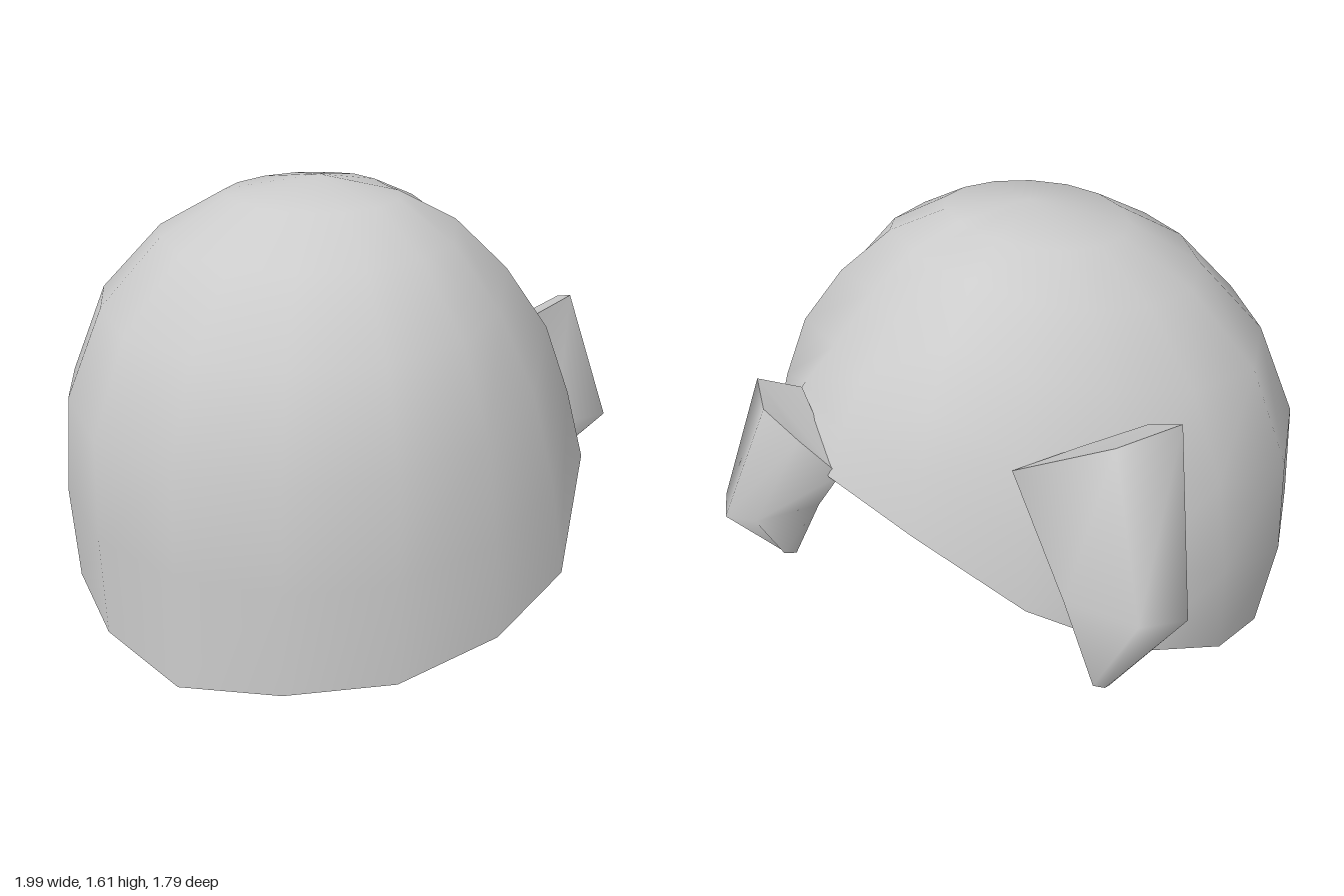
import * as THREE from 'three';

const material = new THREE.MeshStandardMaterial({ color: 0xcccccc, side: THREE.DoubleSide });

function makeMesh(name, points, index) {
  const geometry = new THREE.BufferGeometry();
  geometry.setAttribute('position', new THREE.Float32BufferAttribute(points.flat(), 3));
  geometry.setIndex(index);
  geometry.computeVertexNormals();
  const mesh = new THREE.Mesh(geometry, material);
  mesh.name = name;
  return mesh;
}

// Join ring r to ring r + 1; rings run counter-clockwise seen from above, top ring first
function joinRings(index, start, sides) {
  for (let i = 0; i < sides; i++) {
    const a = start + i, b = start + (i + 1) % sides;
    index.push(a, a + sides, b, b, a + sides, b + sides);
  }
}

// Meridian profiles [radius, y] from below the crown to the rim, from the shortest drop to the longest
const PROFILES = [
  { rim: 0.92, line: [[0.26, 1.56], [0.43, 1.475], [0.58, 1.34], [0.74, 1.15], [0.86, 1.02], [0.94, 0.92]] },
  { rim: 0.8, line: [[0.27, 1.57], [0.47, 1.5], [0.66, 1.36], [0.82, 1.19], [0.91, 1.0], [0.98, 0.8]] },
  { rim: 0.32, line: [[0.33, 1.555], [0.54, 1.43], [0.72, 1.22], [0.86, 0.95], [0.95, 0.63], [1.0, 0.32]] },
  { rim: 0.05, line: [[0.35, 1.54], [0.61, 1.395], [0.855, 1.14], [0.995, 0.79], [1.0, 0.42], [1.0, 0.05]] },
];

// Rim height and radius every 22.5 degrees, from the front towards the model's left
const RIM = [
  [0, 1], [0.06, 1], [0.11, 1], [0.21, 1], [0.32, 1], [0.62, 0.99], [0.92, 0.94], [0.85, 0.96],
  [0.78, 0.98], [0.56, 0.99], [0.36, 1], [0.21, 0.98], [0.08, 0.94], [0.09, 0.95], [0.11, 0.96], [0.055, 0.98],
];

// Open dome with a slanting, uneven rim
function makeDome() {
  const sides = RIM.length, rings = 6;
  const points = [[0, 1.61, 0]], index = [];
  for (let j = 0; j < rings; j++) {
    RIM.forEach(([rimY, rimR], k) => {
      const s = rimY > 0.8 ? 0 : rimY > 0.32 ? 1 : 2;
      const p = PROFILES[s], q = PROFILES[s + 1];
      const t = Math.min(1, (rimY - p.rim) / (q.rim - p.rim));
      let r = THREE.MathUtils.lerp(p.line[j][0], q.line[j][0], t);
      let y = THREE.MathUtils.lerp(p.line[j][1], q.line[j][1], t);
      if (j === rings - 1) { r = rimR; y = rimY; }
      const a = (k / sides) * Math.PI * 2;
      points.push([r * Math.sin(a), y, r * Math.cos(a) * 0.895]);
    });
  }
  for (let i = 0; i < sides; i++) index.push(0, 1 + i, 1 + (i + 1) % sides);
  for (let j = 0; j < rings - 1; j++) joinRings(index, 1 + j * sides, sides);
  return makeMesh('dome', points, index);
}

// Tapering tuft: flat cap, wide knee and a small blunt tip
function makeTuft(name, cap, knee, tip) {
  const sides = cap.length;
  const end = knee.map((p) => {
    const d = new THREE.Vector3(p[0] - tip[0], 0, p[2] - tip[2]).setLength(0.035);
    return [tip[0] + d.x, tip[1], tip[2] + d.z];
  });
  const group = new THREE.Group();
  group.name = name;
  const index = [];
  joinRings(index, 0, sides);
  joinRings(index, sides, sides);
  group.add(makeMesh(name + 'Sides', [...cap, ...knee, ...end], index));

  const fan = [], fanDown = [];
  for (let i = 1; i < sides - 1; i++) {
    fan.push(0, i, i + 1);
    fanDown.push(0, i + 1, i);
  }
  group.add(makeMesh(name + 'Cap', cap, fan));
  group.add(makeMesh(name + 'Tip', end, fanDown));
  return group;
}

export function createModel() {
  const model = new THREE.Group();
  model.name = 'hairCap';
  model.add(makeDome());

  // Smaller tuft behind the left side
  model.add(makeTuft('leftTuft',
    [[0.69, 1.1, -0.7], [0.6, 1.06, -0.8], [0.47, 0.97, -0.8], [0.33, 0.86, -0.78], [0.59, 1.03, -0.59]],
    [[0.83, 0.62, -0.78], [0.77, 0.6, -0.87], [0.64, 0.62, -0.87], [0.4, 0.74, -0.82], [0.68, 0.58, -0.67]],
    [0.61, 0.41, -0.73]));

  // Larger tuft behind the right side, listed the other way round
  model.add(makeTuft('rightTuft',
    [[-0.78, 1.25, -0.55], [-0.62, 1.2, -0.69], [-0.29, 1.04, -0.73], [-0.46, 1.1, -0.6], [-0.64, 1.16, -0.47]].reverse(),
    [[-0.92, 0.71, -0.79], [-0.8, 0.72, -0.9], [-0.55, 0.73, -0.9], [-0.48, 0.68, -0.74], [-0.78, 0.62, -0.62]].reverse(),
    [-0.62, 0.28, -0.74]));

  return model;
}
